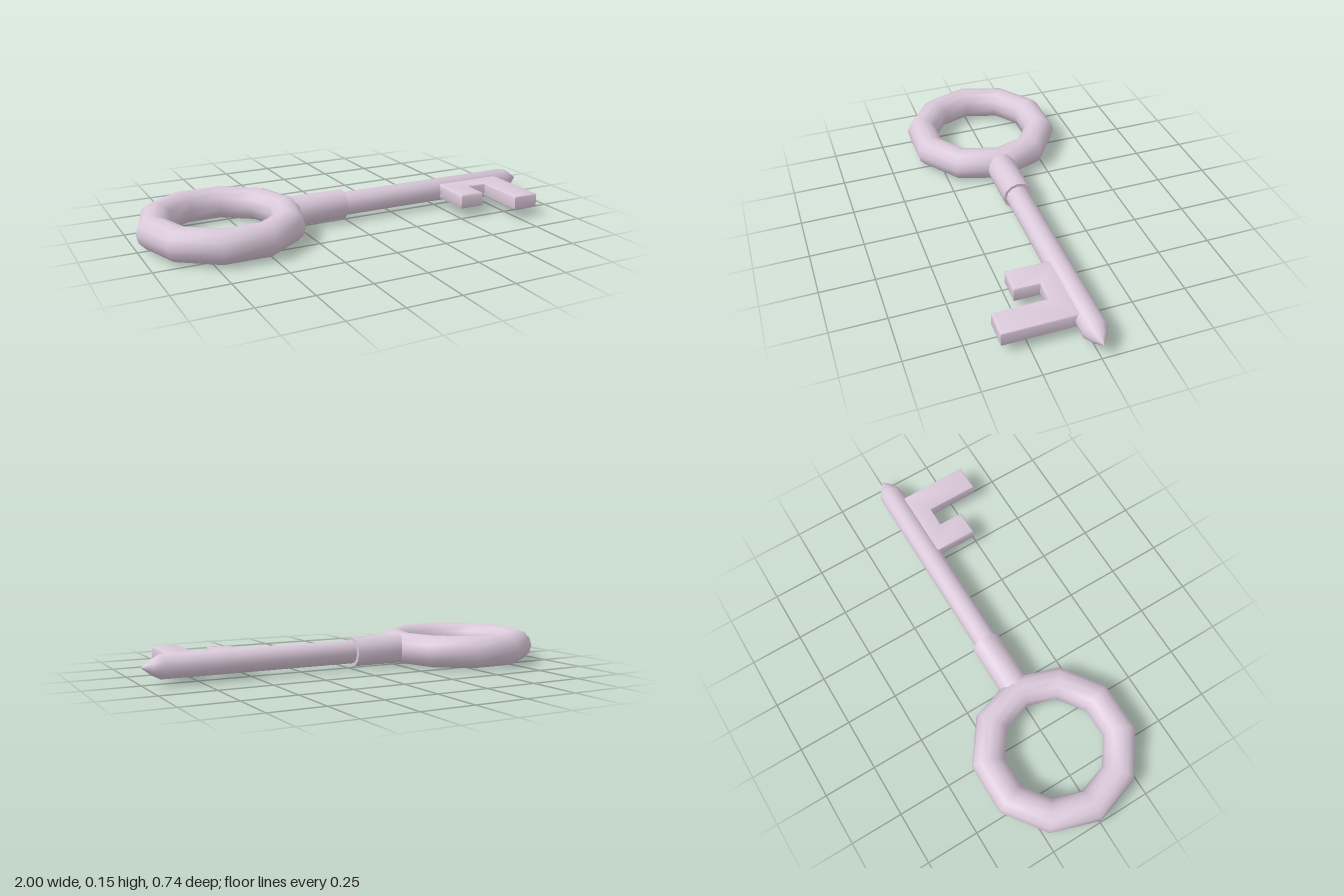
import * as THREE from 'three';
import { toCreasedNormals } from 'three/addons/utils/BufferGeometryUtils.js';

const AXIS_Y = 0.078;
const AXIS_Z = -0.005;

export function createModel() {
  const group = new THREE.Group();
  group.name = 'key';
  const material = new THREE.MeshStandardMaterial({ color: 0xd9c8d9 });

  const add = (name, geometry, x, y, z) => {
    const mesh = new THREE.Mesh(geometry, material);
    mesh.name = name;
    mesh.position.set(x, y, z);
    group.add(mesh);
  };

  // Turned part along x from [x, radius] pairs, sharp only at steep steps
  const turned = (profile) => {
    const points = profile.map(([x, r]) => new THREE.Vector2(r, x));
    const geometry = new THREE.LatheGeometry(points, 12).rotateZ(-Math.PI / 2);
    return toCreasedNormals(geometry, 0.8);
  };

  // Ten-sided ring handle lying flat
  const ring = new THREE.TorusGeometry(0.308, 0.077, 12, 10).rotateX(Math.PI / 2);
  add('bow', ring, -0.615, AXIS_Y, AXIS_Z);

  // Collar joining ring and shaft
  add('collar', turned([[-0.3, 0], [-0.3, 0.071], [-0.015, 0.071], [-0.015, 0]]), 0, AXIS_Y, AXIS_Z);

  // Shaft with a blunt pointed tip
  add('shaft', turned([[-0.1, 0], [-0.1, 0.056], [0.915, 0.056], [0.955, 0.036], [1, 0]]), 0, AXIS_Y, AXIS_Z + 0.002);

  // Two-toothed bit, outline drawn in x and z
  const outline = new THREE.Shape([
    [0.505, 0.02], [0.845, 0.02], [0.845, 0.37], [0.72, 0.37],
    [0.72, 0.122], [0.625, 0.122], [0.625, 0.24], [0.505, 0.24],
  ].map(([x, z]) => new THREE.Vector2(x, z)));
  const bevel = 0.008;
  const bit = new THREE.ExtrudeGeometry(outline, {
    depth: 0.07 - 2 * bevel,
    bevelEnabled: true,
    bevelThickness: bevel,
    bevelSize: bevel,
    bevelOffset: -bevel,
    bevelSegments: 2,
  }).rotateX(Math.PI / 2);
  add('bit', toCreasedNormals(bit, 0.9), 0, 0.115 - bevel, 0);

  return group;
}
